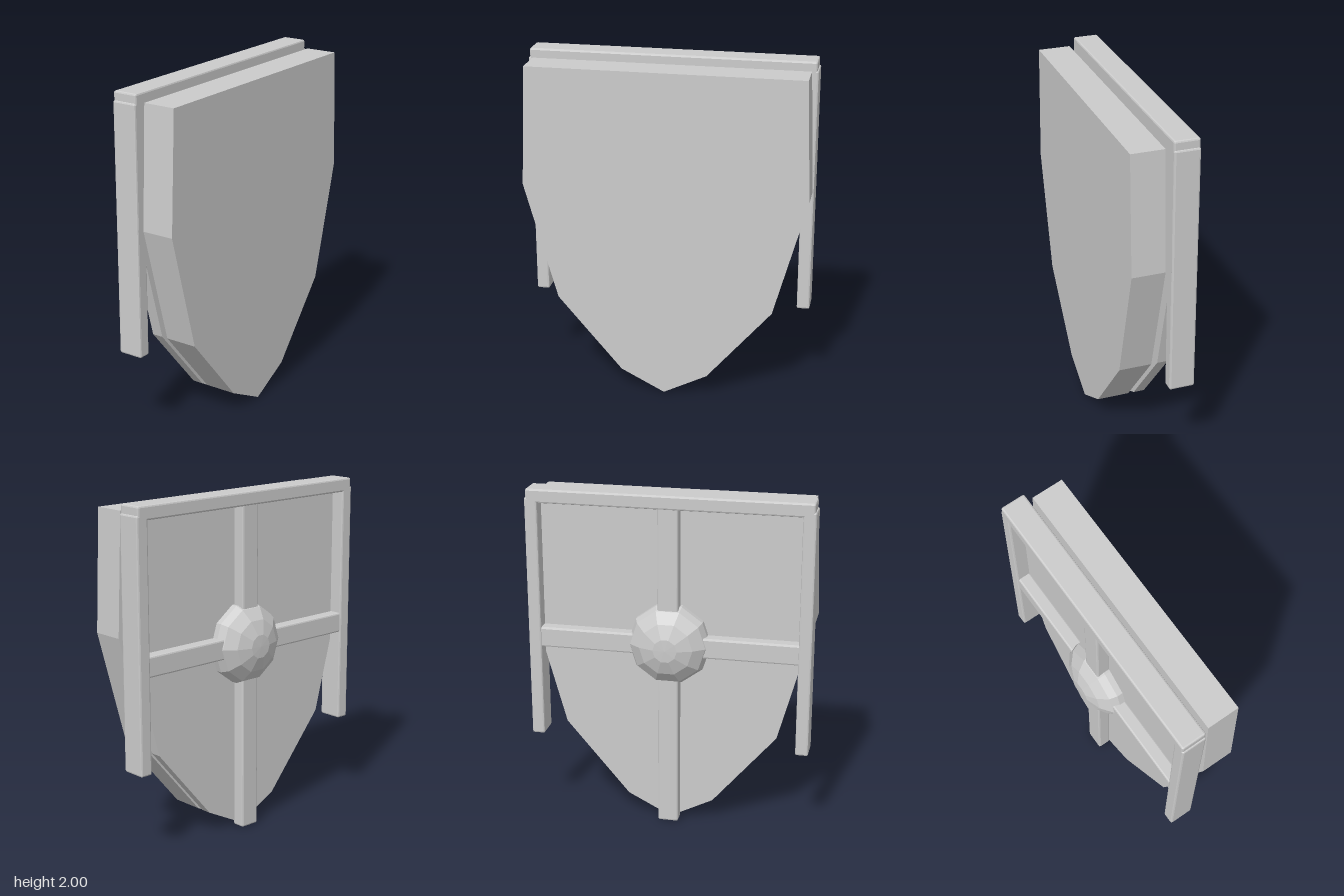
import * as THREE from 'three';
import { RoundedBoxGeometry } from 'three/addons/geometries/RoundedBoxGeometry.js';

const material = new THREE.MeshStandardMaterial({ color: 0xcccccc, flatShading: true });

// Half of the shield outline as (z, y), from the top corner to the tip
const HALF = [[0.79, 1.955], [0.82, 1.26], [0.63, 0.57], [0.255, 0.13]];

function add(group, name, geometry) {
  const mesh = new THREE.Mesh(geometry, material);
  mesh.name = name;
  group.add(mesh);
  return mesh;
}

// Shield-shaped slab between two x positions
function slab(x0, x1) {
  const points = [...HALF, [0, 0], ...HALF.map(([z, y]) => [-z, y]).reverse()];
  const shape = new THREE.Shape(points.map(([z, y]) => new THREE.Vector2(z, y)));
  return new THREE.ExtrudeGeometry(shape, { depth: x1 - x0, bevelEnabled: false })
    .rotateY(Math.PI / 2)
    .translate(x0, 0, 0);
}

// Chamfered bar given by its limits on each axis
function bar([x0, x1], [y0, y1], [z0, z1]) {
  return new RoundedBoxGeometry(x1 - x0, y1 - y0, z1 - z0, 1, 0.01)
    .translate((x0 + x1) / 2, (y0 + y1) / 2, (z0 + z1) / 2);
}

export function createModel() {
  const model = new THREE.Group();
  model.name = 'shield';

  // Two parallel plates
  add(model, 'frontPlate', slab(0.035, 0.225));
  add(model, 'backPlate', slab(-0.065, 0));

  // Rim: top rail and two side posts
  const rimX = [-0.147, 0];
  add(model, 'topRail', bar(rimX, [1.92, 2.0], [-0.817, 0.817]));
  add(model, 'leftPost', bar(rimX, [0.51, 1.95], [0.75, 0.825]));
  add(model, 'rightPost', bar(rimX, [0.51, 1.95], [-0.825, -0.75]));

  // Crossed braces on the back
  const braceX = [-0.14, -0.06];
  add(model, 'uprightBrace', bar(braceX, [0.005, 1.95], [-0.06, 0.06]));
  add(model, 'crossBrace', bar(braceX, [1.06, 1.18], [-0.78, 0.78]));

  // Ten-sided faceted boss where the braces meet
  const profile = [[0.24, 0.065], [0.24, 0.1], [0.22, 0.145], [0.155, 0.195], [0.07, 0.225], [0, 0.228]];
  const dome = new THREE.LatheGeometry(profile.map(([r, h]) => new THREE.Vector2(r, h)), 10);
  add(model, 'boss', dome.rotateZ(Math.PI / 2)).position.y = 1.12;

  return model;
}
